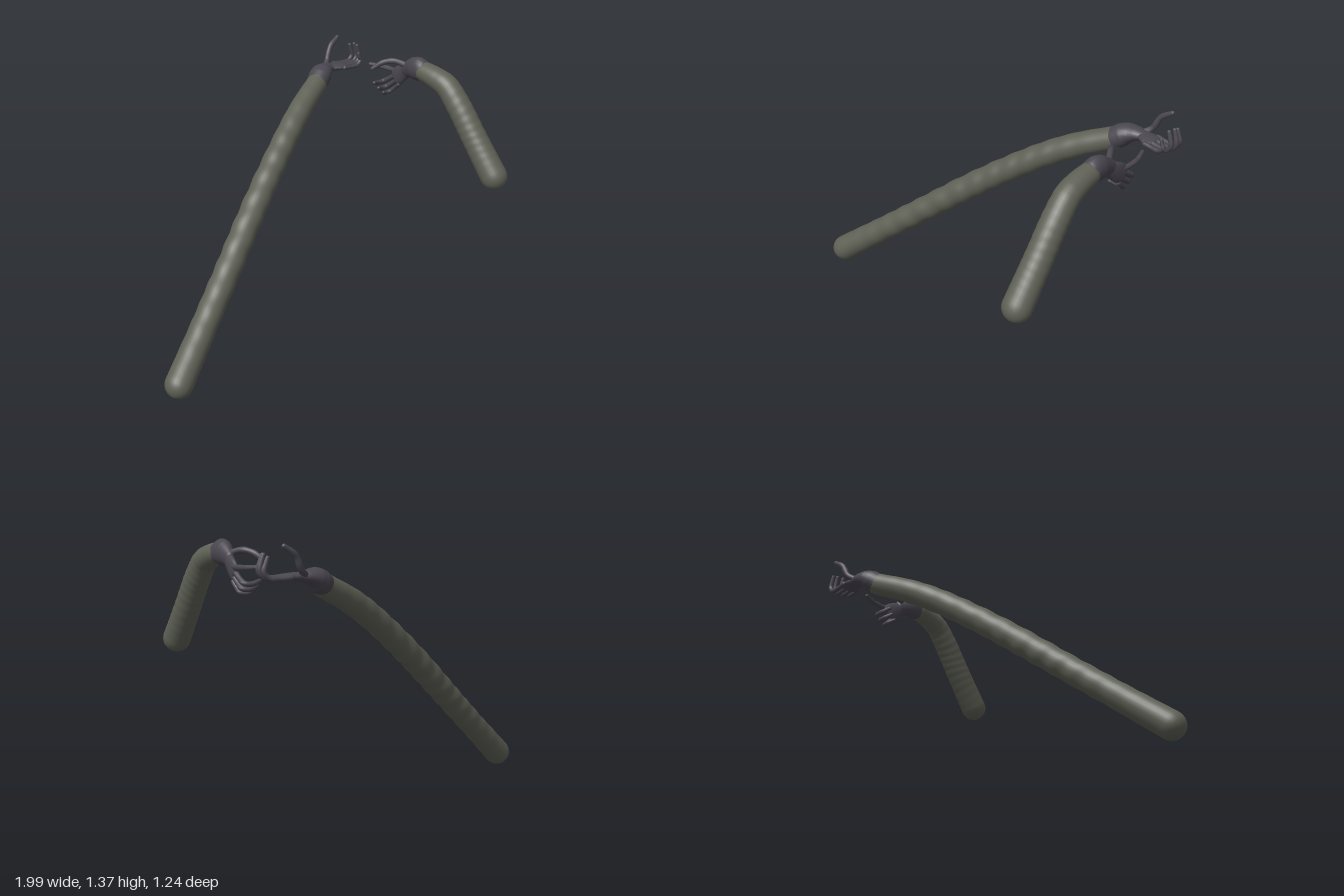
import * as THREE from 'three';

const sleeveMat = new THREE.MeshStandardMaterial({ color: 0x5f6156 });
sleeveMat.name = 'olive sleeve';
const gloveMat = new THREE.MeshStandardMaterial({ color: 0x4a4750 });
gloveMat.name = 'dark glove';

// Value of an evenly spaced list at t in 0..1
function sample(list, t) {
  const f = t * (list.length - 1);
  const i = Math.min(Math.floor(f), list.length - 2);
  return THREE.MathUtils.lerp(list[i], list[i + 1], f - i);
}

// Round-ended limb swept along a smooth path; the section is an ellipse
// with half-width ru along the side vector and rv across it.
function limb(name, material, points, { ru, rv = ru, side = [0, 0, 1], rings = 24, sides = 16, ripple = 0 }) {
  const curve = new THREE.CatmullRomCurve3(points.map((p) => new THREE.Vector3(...p)));
  const sideV = new THREE.Vector3(...side);
  const stations = [];
  const capSteps = 6;
  for (let k = 0; k < capSteps; k++) {
    const a = (k / capSteps) * Math.PI / 2;
    stations.push({ t: 0, push: -Math.cos(a), scale: Math.sin(a) });
  }
  for (let i = 0; i <= rings; i++) stations.push({ t: i / rings, push: 0, scale: 1 });
  for (let k = capSteps - 1; k >= 0; k--) {
    const a = (k / capSteps) * Math.PI / 2;
    stations.push({ t: 1, push: Math.cos(a), scale: Math.sin(a) });
  }

  const position = [];
  const index = [];
  stations.forEach(({ t, push, scale }, i) => {
    const T = curve.getTangentAt(t);
    const U = sideV.clone().addScaledVector(T, -sideV.dot(T)).normalize();
    const V = T.clone().cross(U);
    const wu = sample(ru, t);
    const wv = sample(rv, t);
    const c = curve.getPointAt(t).addScaledVector(T, push * Math.min(wu, wv));
    for (let j = 0; j < sides; j++) {
      const a = (j / sides) * Math.PI * 2;
      // Soft cloth folds, fading out at both ends
      const fold = 1 + ripple * Math.sin(t * Math.PI) * Math.sin(t * 95 + 1.4 * Math.sin(a + t * 9));
      const p = c.clone()
        .addScaledVector(U, Math.cos(a) * wu * scale * fold)
        .addScaledVector(V, Math.sin(a) * wv * scale * fold);
      position.push(p.x, p.y, p.z);
      if (i < stations.length - 1) {
        const n = i * sides + ((j + 1) % sides);
        const m = i * sides + j;
        index.push(m, n, m + sides, n, n + sides, m + sides);
      }
    }
  });
  const geometry = new THREE.BufferGeometry();
  geometry.setAttribute('position', new THREE.Float32BufferAttribute(position, 3));
  geometry.setIndex(index);
  geometry.computeVertexNormals();
  const mesh = new THREE.Mesh(geometry, material);
  mesh.name = name;
  return mesh;
}

// Finger with slightly swollen joints and a narrow tip
function finger(name, points, size = 0.014, side = [0.3, 0.2, 1]) {
  const ru = [1.1, 1, 0.92, 1.02, 0.88, 0.94, 0.82, 0.7].map((s) => s * size);
  return limb(name, gloveMat, points, { ru, side, rings: 20, sides: 10 });
}

// Long arm reaching up and back, palm upward
function buildLongArm() {
  const arm = new THREE.Group();
  arm.name = 'longArm';
  arm.add(
    limb('longSleeve', sleeveMat, [
      [-0.925, 0.077, 0.23], [-0.5, 0.435, 0.02], [-0.2, 0.69, -0.13], [0, 0.85, -0.228],
      [0.2, 0.995, -0.325], [0.35, 1.085, -0.4], [0.53, 1.17, -0.485],
    ], { ru: [0.074, 0.069, 0.069, 0.07, 0.068, 0.066, 0.06], rings: 140, sides: 28, ripple: 0.035 }),
    limb('longCuff', gloveMat, [
      [0.53, 1.172, -0.485], [0.575, 1.203, -0.512], [0.615, 1.214, -0.53], [0.66, 1.217, -0.54],
    ], { ru: [0.062, 0.067, 0.063, 0.05, 0.038], rv: [0.06, 0.06, 0.05, 0.036, 0.025], sides: 24 }),
    limb('longPalm', gloveMat, [
      [0.64, 1.216, -0.54], [0.69, 1.217, -0.535], [0.74, 1.215, -0.53],
    ], { ru: [0.034, 0.043, 0.054, 0.055], rv: [0.024, 0.021, 0.018], sides: 20 }),
    finger('longThumb', [
      [0.645, 1.22, -0.556], [0.68, 1.25, -0.585], [0.715, 1.318, -0.6], [0.775, 1.362, -0.61],
    ], 0.017),
  );
  // Four fingers curling upward at the end
  const tips = [1.31, 1.322, 1.32, 1.282];
  tips.forEach((tip, i) => {
    const z = -0.578 + i * 0.033;
    const reach = [0.865, 0.872, 0.866, 0.85][i];
    arm.add(finger('longFinger', [
      [0.725, 1.216, z], [0.785, 1.212, z], [reach - 0.03, 1.215, z],
      [reach - 0.003, 1.245, z], [reach - 0.012, tip - 0.03, z], [reach - 0.022, tip, z],
    ], i === 3 ? 0.0125 : 0.0145));
  });
  return arm;
}

// Short bent arm pointing backward with its index finger
function buildBentArm() {
  const arm = new THREE.Group();
  arm.name = 'bentArm';
  const across = [0, 0.85, -0.4];
  arm.add(
    limb('bentSleeve', sleeveMat, [
      [0.922, 0.825, 0.547], [0.902, 1.01, 0.405], [0.885, 1.17, 0.285],
      [0.873, 1.255, 0.205], [0.862, 1.285, 0.13], [0.853, 1.302, 0.05],
    ], { ru: [0.074, 0.071, 0.069, 0.068, 0.064, 0.056], side: [1, 0, 0], rings: 60, sides: 28, ripple: 0.012 }),
    limb('bentCuff', gloveMat, [
      [0.853, 1.303, 0.045], [0.849, 1.309, 0.01], [0.848, 1.3, -0.04], [0.849, 1.28, -0.095],
    ], { ru: [0.055, 0.068, 0.064, 0.052, 0.042], rv: [0.054, 0.05, 0.046, 0.036, 0.026], side: [0, 1, 0.2], sides: 24 }),
    limb('bentPalm', gloveMat, [
      [0.849, 1.28, -0.08], [0.853, 1.25, -0.13], [0.853, 1.215, -0.178],
    ], { ru: [0.037, 0.044, 0.051, 0.05], rv: [0.024, 0.021, 0.018], side: across, sides: 20 }),
    finger('bentThumb', [
      [0.845, 1.305, -0.085], [0.805, 1.325, -0.14], [0.765, 1.315, -0.19], [0.722, 1.275, -0.235],
    ], 0.017, [0, 1, 0.3]),
    finger('pointingFinger', [
      [0.855, 1.245, -0.175], [0.858, 1.246, -0.22], [0.846, 1.248, -0.29], [0.815, 1.253, -0.36],
    ], 0.0145, [0, 1, 0]),
  );
  // Three fingers bending inward across the palm
  const knuckles = [[1.222, -0.185], [1.197, -0.172], [1.175, -0.157]];
  const bends = [[1.172, -0.264], [1.145, -0.24], [1.124, -0.21]];
  knuckles.forEach(([ky, kz], i) => {
    const [by, bz] = bends[i];
    arm.add(finger('bentFinger', [
      [0.853, ky, kz], [0.85, (ky + by) / 2, (kz + bz) / 2], [0.838, by, bz],
      [0.8, by - 0.004, bz - 0.004], [0.745 + i * 0.012, by + 0.012, bz + 0.022],
    ], i === 2 ? 0.0125 : 0.0145, [0, 1, 0.1]));
  });
  return arm;
}

export function createModel() {
  const model = new THREE.Group();
  model.name = 'pairOfReachingArms';
  model.add(buildLongArm(), buildBentArm());
  return model;
}
